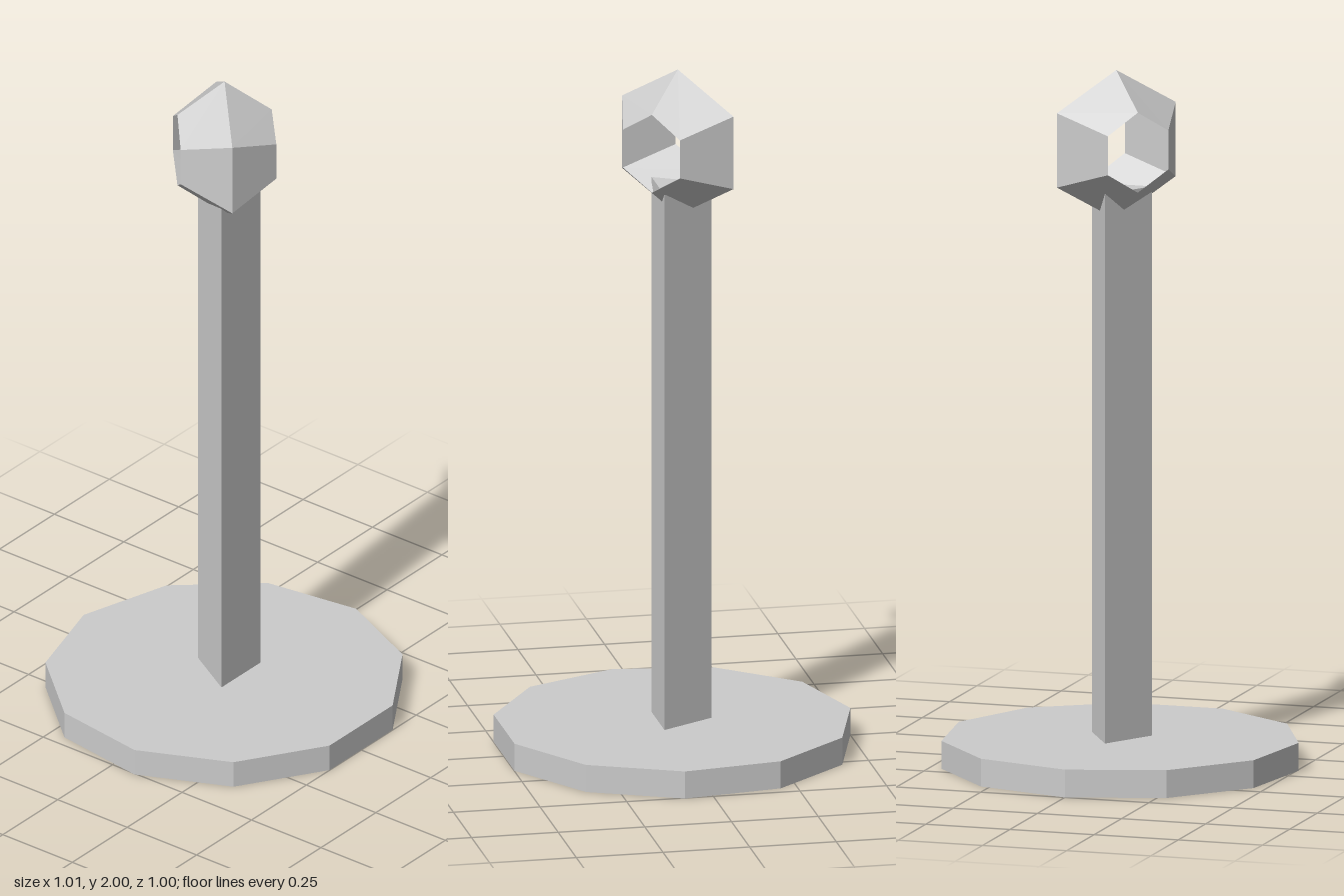
import * as THREE from 'three';

const material = new THREE.MeshStandardMaterial({ color: 0xcccccc, flatShading: true, side: THREE.DoubleSide });

function add(group, name, geometry, x, y, z) {
  const mesh = new THREE.Mesh(geometry, material);
  mesh.name = name;
  mesh.position.set(x, y, z);
  group.add(mesh);
  return mesh;
}

// Hollow faceted knob, mirrored in all three axes, with an open hexagon on two sides.
// Corners are [u, y, v]; u and v are the horizontal axes before a 45 degree turn.
function knobGeometry() {
  const tip = [0, 0.215, 0];
  const ridge = [0.188, 0.107, 0];
  const side = [0.096, 0.056, 0.136];
  const peak = [0, 0.115, 0.134];
  const low = ([u, y, v]) => [u, -y, v];
  const positions = [];

  function quad(corners, su, sy, sv) {
    const p = corners.map(([u, y, v]) => [
      (su * u + sv * v) * Math.SQRT1_2, sy * y, (sv * v - su * u) * Math.SQRT1_2,
    ]);
    if (su * sy * sv < 0) p.reverse();
    for (const i of [0, 1, 2, 0, 2, 3]) positions.push(...p[i]);
  }

  for (const su of [1, -1]) {
    for (const sv of [1, -1]) {
      for (const sy of [1, -1]) quad([tip, peak, side, ridge], su, sy, sv);
      quad([side, low(side), low(ridge), ridge], su, 1, sv);
    }
  }
  const geometry = new THREE.BufferGeometry();
  geometry.setAttribute('position', new THREE.Float32BufferAttribute(positions, 3));
  geometry.computeVertexNormals();
  return geometry;
}

export function createModel() {
  const group = new THREE.Group();
  group.name = 'post';

  // Eleven-sided base plate, one corner pointing backwards
  const base = add(group, 'base', new THREE.CylinderGeometry(0.51, 0.51, 0.08, 11), 0, 0.04, 0.01);
  base.rotation.y = Math.PI;

  // Three-sided pole, flat face to the front
  const pole = add(group, 'pole', new THREE.CylinderGeometry(0.103, 0.103, 1.58, 3), 0.012, 0.87, 0.006);
  pole.rotation.y = Math.PI;

  // Knob on top
  add(group, 'knob', knobGeometry(), 0.01, 1.785, 0);

  return group;
}
